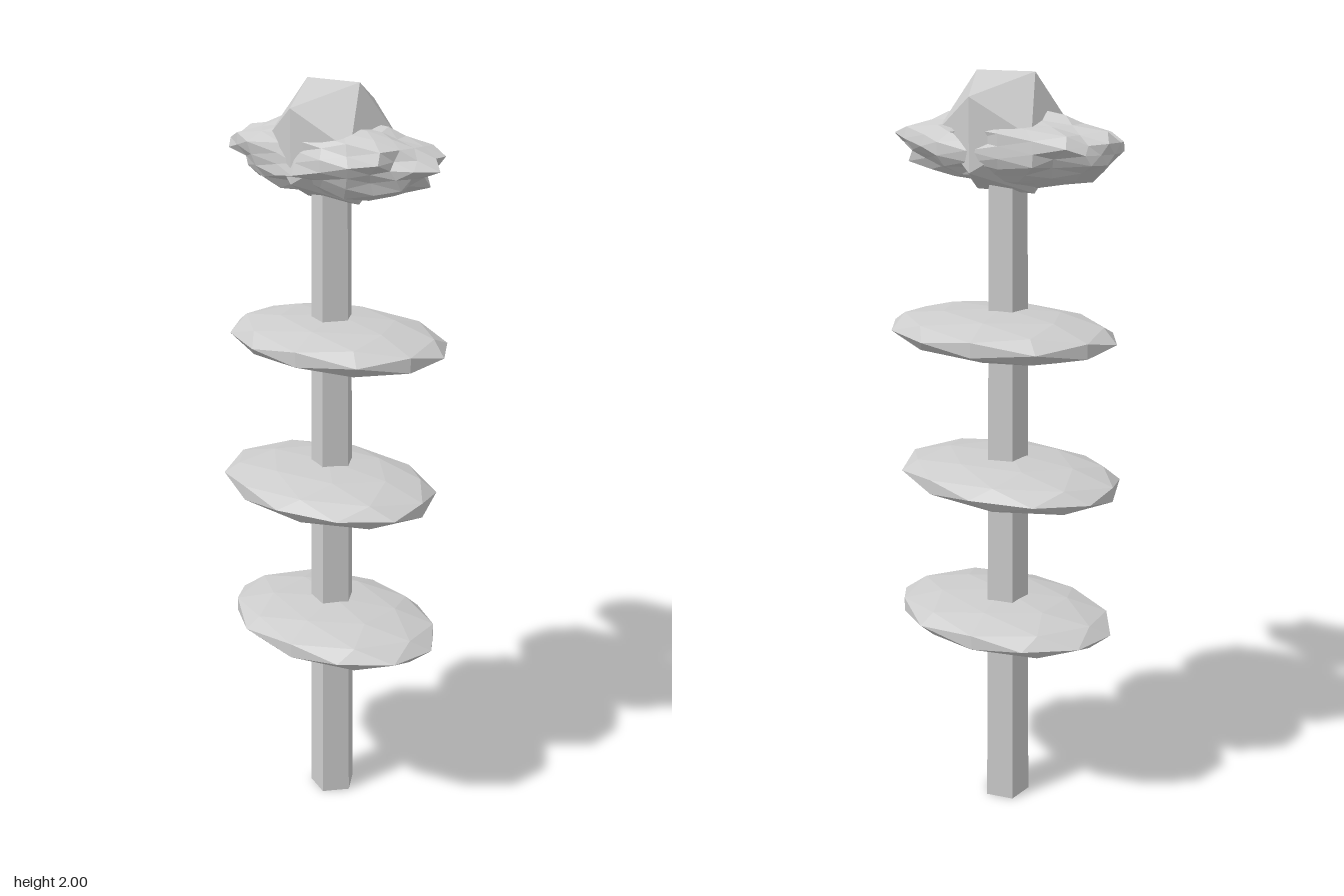
import * as THREE from 'three';

const material = () => new THREE.MeshStandardMaterial({ color: 0xcccccc, flatShading: true });

// Repeatable value 0..1 for a point, so shared corners move together
function hash(v) {
  const k = (n) => Math.round(n * 1000) / 1000 + 0;
  const s = Math.sin(k(v.x) * 127.1 + k(v.y) * 311.7 + k(v.z) * 74.7) * 43758.5453;
  return s - Math.floor(s);
}

function addMesh(group, name, geometry, x, y, z) {
  const mesh = new THREE.Mesh(geometry, material());
  mesh.name = name;
  mesh.position.set(x, y, z);
  group.add(mesh);
  return mesh;
}

// Spiky oval: each corner pushed in or out, blunt on the -x end
function spikyOval() {
  const geometry = new THREE.IcosahedronGeometry(1, 3);
  const pos = geometry.attributes.position;
  const v = new THREE.Vector3();
  for (let i = 0; i < pos.count; i++) {
    v.fromBufferAttribute(pos, i).normalize();
    const tip = v.x > 0.999;
    const r = tip ? 1.05 : 0.84 + 0.22 * hash(v);
    const x = v.x * r * (v.x < 0 ? 0.36 : 0.325);
    pos.setXYZ(i, Math.max(x, -0.335), v.y * r * 0.096, v.z * r * 0.152);
  }
  geometry.computeVertexNormals();
  return geometry;
}

export function createModel() {
  const model = new THREE.Group();
  model.name = 'tieredTree';

  // Five-sided tapering trunk with one edge facing +x
  const trunk = new THREE.CylinderGeometry(0.053, 0.065, 1.8, 5);
  trunk.rotateY(Math.PI / 2);
  addMesh(model, 'trunk', trunk, -0.013, 0.9, 0);

  // Flattened foliage tiers: [x, y, z, turn in degrees]
  const tiers = [
    [0.002, 0.548, 0.012, -21],
    [-0.014, 0.95, 0.015, -50.5],
    [-0.01, 1.348, -0.015, 44.5],
  ];
  for (const [x, y, z, turn] of tiers) {
    const tier = new THREE.IcosahedronGeometry(1, 1);
    tier.rotateY(THREE.MathUtils.degToRad(turn));
    tier.scale(0.33, 0.0625, 0.235);
    addMesh(model, 'foliageTier', tier, x, y, z);
  }

  // Spiky crown and the faceted ball set into it
  addMesh(model, 'spikyCrown', spikyOval(), 0, 1.817, 0);
  addMesh(model, 'topBall', new THREE.IcosahedronGeometry(0.172, 0), -0.012, 1.854, -0.002);

  return model;
}
